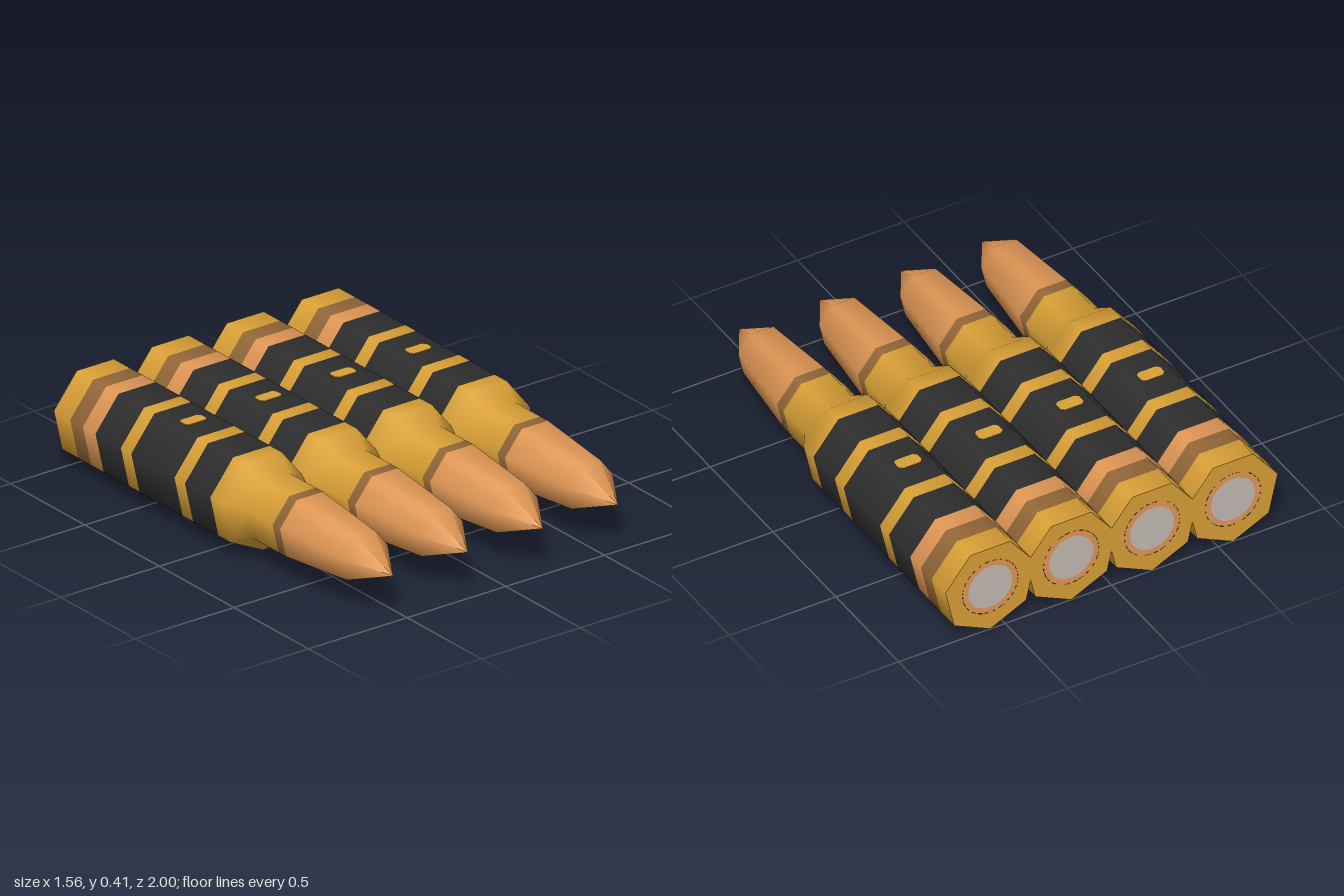
import * as THREE from 'three';

const SIDES = 7, R = 0.2157, NECK = 0.155, SPACING = 0.38;

const material = (name, color) => {
  const m = new THREE.MeshStandardMaterial({ color });
  m.name = name;
  return m;
};

// Seven-sided turned section along z, one corner pointing down; profile is [radius, z]
function turned(profile) {
  const points = profile.map(([r, z]) => new THREE.Vector2(r, z));
  return new THREE.LatheGeometry(points, SIDES).rotateX(Math.PI / 2);
}

// Pointed nose, whose lowest corner on the front ring is drawn out to the tip
function noseGeometry() {
  const geo = turned([[NECK, 0.44], [0.118, 0.81], [0, 1]]);
  const pos = geo.attributes.position;
  const tipY = -0.011;
  for (let i = 0; i <= SIDES; i++) pos.setXYZ(i * 3 + 2, 0, tipY, 1);
  for (const i of [0, SIDES]) pos.setXYZ(i * 3 + 1, 0, tipY, 1);
  return geo;
}

// Seven-sided rear face with a round opening
function rearFaceGeometry(hole) {
  const shape = new THREE.Shape();
  for (let i = 0; i < SIDES; i++) {
    const a = (i / SIDES) * Math.PI * 2 - Math.PI / 2;
    shape[i ? 'lineTo' : 'moveTo'](R * Math.cos(a), R * Math.sin(a));
  }
  shape.closePath();
  shape.holes.push(new THREE.Path().absarc(0, 0, hole, 0, Math.PI * 2, true));
  return new THREE.ShapeGeometry(shape, 24).rotateY(Math.PI).translate(0, 0, -1);
}

// Small plate with clipped corners lying on the top facet
function markGeometry() {
  const w = 0.055, d = 0.031, c = 0.014;
  const shape = new THREE.Shape([
    [-w, -d + c], [-w + c, -d], [w - c, -d], [w, -d + c],
    [w, d - c], [w - c, d], [-w + c, d], [-w, d - c],
  ].map(([x, y]) => new THREE.Vector2(x, y)));
  return new THREE.ExtrudeGeometry(shape, { depth: 0.004, bevelEnabled: false })
    .rotateX(-Math.PI / 2)
    .translate(-0.006, R * Math.cos(Math.PI / SIDES) - 0.001, -0.335);
}

export function createModel() {
  const brass = material('brass', 0xd9a036);
  const copper = material('copper', 0xe09755);
  const brown = material('darkCopper', 0x936738);
  const black = material('blackLink', 0x2e2e2e);
  const grey = material('primerGrey', 0xc4bab2);

  const band = (z0, z1, r = R) => turned([[r, z0], [r, z1]]);
  const parts = [
    // Casing, from the rear forwards
    ['rearRim', band(-1, -0.89), brass],
    ['extractorGroove', band(-0.89, -0.805), brown],
    ['copperBand', band(-0.805, -0.72), copper],
    ['rearLink', band(-0.72, -0.55), black],
    ['rearCasing', band(-0.55, -0.48), brass],
    ['middleLink', band(-0.48, -0.19), black],
    ['frontCasing', band(-0.19, -0.12), brass],
    ['frontLink', band(-0.12, 0.05), black],
    ['shoulderAndNeck', turned([[R, 0.05], [R, 0.13], [NECK, 0.22], [NECK, 0.39]]), brass],
    ['neckRing', band(0.39, 0.44, NECK), brown],
    ['nose', noseGeometry(), copper],
    // Rear face and top mark
    ['rearFace', rearFaceGeometry(0.13), brass],
    ['primerRing', new THREE.RingGeometry(0.104, 0.13, 24).rotateY(Math.PI).translate(0, 0, -1), copper],
    ['primer', new THREE.CircleGeometry(0.104, 24).rotateY(Math.PI).translate(0, 0, -1), grey],
    ['linkMark', markGeometry(), brass],
  ];

  const model = new THREE.Group();
  model.name = 'linkedCartridges';
  for (let i = 0; i < 4; i++) {
    const cartridge = new THREE.Group();
    cartridge.name = `cartridge${i + 1}`;
    cartridge.position.set((i - 1.5) * SPACING, R, 0);
    for (const [name, geometry, mat] of parts) {
      const mesh = new THREE.Mesh(geometry, mat);
      mesh.name = name;
      cartridge.add(mesh);
    }
    model.add(cartridge);
  }
  return model;
}
